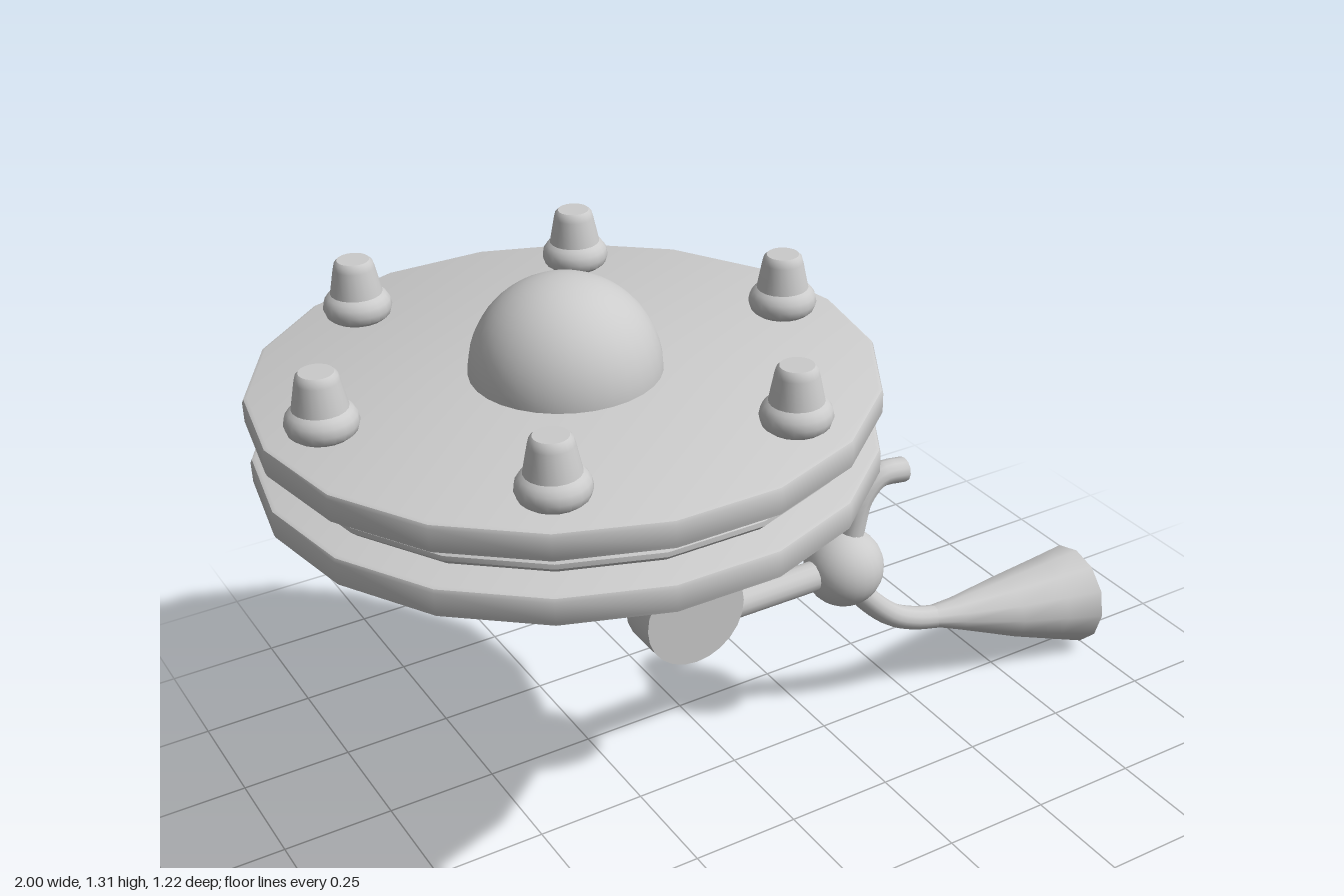
import * as THREE from 'three';
import { toCreasedNormals } from 'three/addons/utils/BufferGeometryUtils.js';

const material = new THREE.MeshStandardMaterial({ color: 0xcccccc });
const V = (x, y, z = 0) => new THREE.Vector3(x, y, z);

function add(parent, name, geometry, x = 0, y = 0, z = 0) {
  const mesh = new THREE.Mesh(geometry, material);
  mesh.name = name;
  mesh.position.set(x, y, z);
  parent.add(mesh);
  return mesh;
}

// Turned part from [radius, height] pairs listed bottom to top
function turned(profile, sides) {
  const g = new THREE.LatheGeometry(profile.map(([r, y]) => new THREE.Vector2(r, y)), sides);
  return toCreasedNormals(g.rotateY(Math.PI / 2), 0.6);
}

// Straight round bar between two points
function bar(a, b, radius) {
  const dir = b.clone().sub(a);
  const g = new THREE.CylinderGeometry(radius, radius, dir.length(), 16);
  g.applyQuaternion(new THREE.Quaternion().setFromUnitVectors(V(0, 1), dir.normalize()));
  const mid = a.clone().add(b).multiplyScalar(0.5);
  return g.translate(mid.x, mid.y, mid.z);
}

// Bent round tube with closed ends
function bentTube(points, radius) {
  return new THREE.TubeGeometry(new THREE.CatmullRomCurve3(points), 16, radius, 12);
}

// Skin over rings given as [x, y, radius, tilt], running along +x
function loft(rings, sides) {
  const pos = [], index = [];
  for (const [x, y, r, tilt] of rings) {
    for (let j = 0; j < sides; j++) {
      const a = (j / sides) * Math.PI * 2, up = r * Math.cos(a);
      pos.push(x + up * Math.sin(tilt), y + up * Math.cos(tilt), r * Math.sin(a));
    }
  }
  for (let i = 0; i < rings.length - 1; i++) {
    for (let j = 0; j < sides; j++) {
      const k = (j + 1) % sides;
      const a = i * sides + j, b = i * sides + k, c = a + sides, d = b + sides;
      index.push(a, b, c, b, d, c);
    }
  }
  const g = new THREE.BufferGeometry();
  g.setAttribute('position', new THREE.Float32BufferAttribute(pos, 3));
  g.setIndex(index);
  return toCreasedNormals(g, 0.6);
}

export function createModel() {
  const model = new THREE.Group();
  model.name = 'model';

  // Double disc with a grooved middle ring
  const head = new THREE.Group();
  head.name = 'discHead';
  head.position.x = -0.385;
  model.add(head);
  const R = 0.617, c = 0.01;
  const plate = (y0, y1) => turned([
    [0, y0], [R - c, y0], [R - c * 0.3, y0 + c * 0.3], [R, y0 + c],
    [R, y1 - c], [R - c * 0.3, y1 - c * 0.3], [R - c, y1], [0, y1],
  ], 18);
  add(head, 'lowerDisc', plate(0.927, 0.988));
  add(head, 'upperDisc', plate(1.058, 1.118));
  add(head, 'middleRing', turned([
    [0.525, 0.985], [0.558, 1.005], [0.572, 1.018], [0.572, 1.028], [0.558, 1.041], [0.525, 1.061],
  ], 18));

  // Domes above and below the disc
  for (const [name, y] of [['upperDome', 1.118], ['lowerDome', 0.927]]) {
    add(head, name, new THREE.SphereGeometry(0.19, 32, 24), 0, y);
  }

  // Six knobs around the disc
  const knobShape = turned([
    [0.055, 0], [0.065, 0.008], [0.07, 0.023], [0.067, 0.038], [0.06, 0.048], [0.053, 0.054],
    [0.042, 0.108], [0.039, 0.119], [0.033, 0.125], [0, 0.125],
  ], 20);
  for (let i = 0; i < 6; i++) {
    const a = (i / 6) * Math.PI * 2;
    add(head, 'knob', knobShape, 0.5 * Math.cos(a), 1.118, 0.5 * Math.sin(a));
  }

  // Jointed arm
  add(model, 'upperArm', bar(V(-0.27, 0.85), V(-0.126, 0.476), 0.035));
  add(model, 'elbowJoint', new THREE.CylinderGeometry(0.12, 0.12, 0.096, 24).rotateX(Math.PI / 2), -0.126, 0.475);
  add(model, 'lowerArm', bar(V(-0.12, 0.438), V(0.29, 0.438), 0.035));
  add(model, 'ballJoint', new THREE.SphereGeometry(0.092, 24, 18), 0.291, 0.437);

  // Small hooked pipe with a cap on its open end
  add(model, 'hookPipe', bentTube(
    [V(0.295, 0.44), V(0.312, 0.53), V(0.333, 0.605), V(0.378, 0.648), V(0.447, 0.644)], 0.029));
  const cap = add(model, 'hookCap', new THREE.CircleGeometry(0.029, 12), 0.447, 0.644);
  cap.rotation.y = Math.PI / 2;

  // Horn on a curved neck, with a recessed mouth
  add(model, 'hornNeck', bentTube(
    [V(0.291, 0.42), V(0.34, 0.348), V(0.43, 0.258), V(0.5, 0.222), V(0.57, 0.202)], 0.028));
  add(model, 'horn', loft([
    [0.55, 0.207, 0.027, -0.2], [0.63, 0.188, 0.043, -0.15], [0.78, 0.157, 0.08, -0.1],
    [0.9, 0.138, 0.104, 0.02], [0.99, 0.124, 0.123, 0.065], [0.99, 0.124, 0.094, 0.065],
    [0.92, 0.128, 0.09, 0.065], [0.92, 0.128, 0, 0.065],
  ], 12));
  return model;
}
